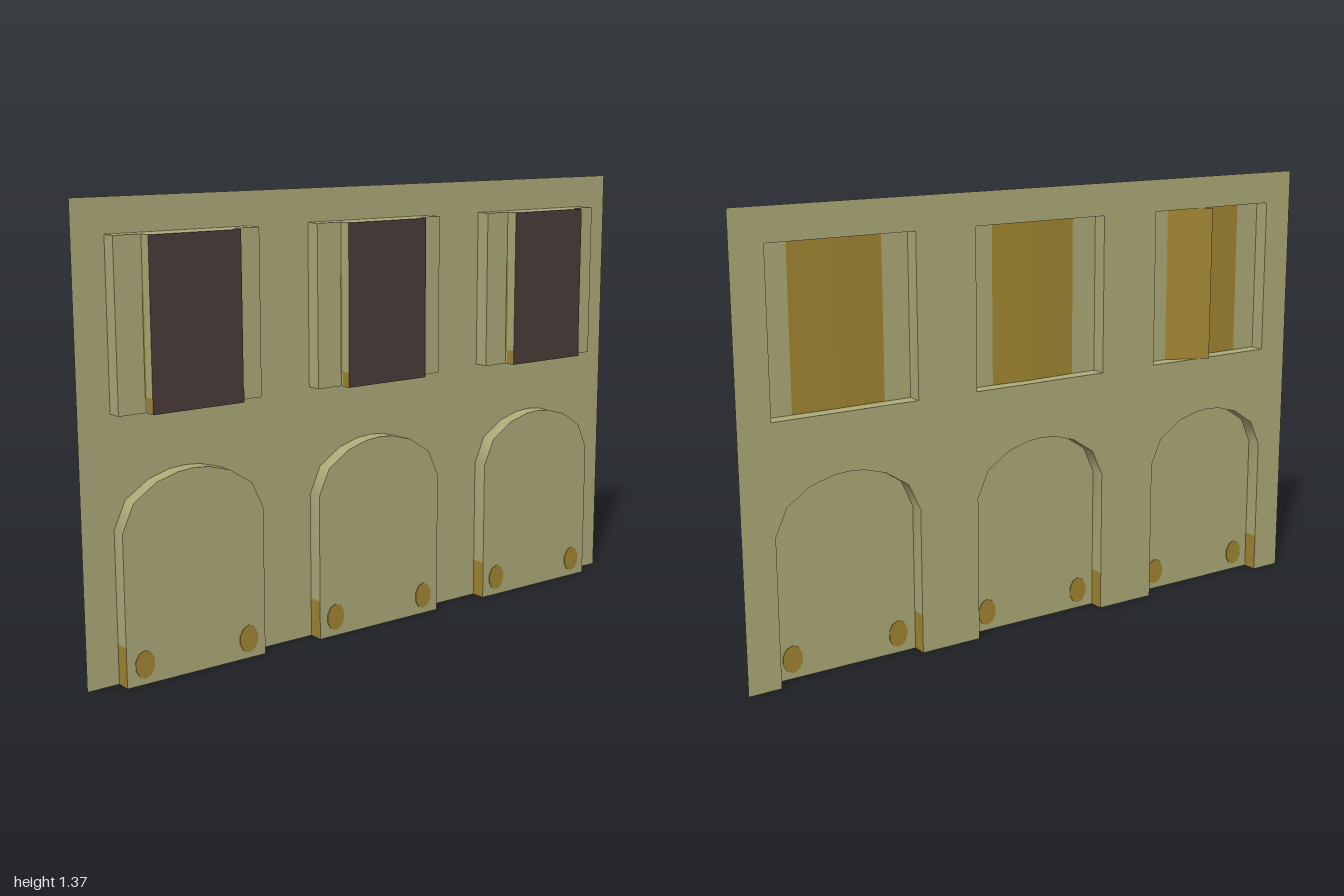
import * as THREE from 'three';

const mat = (name, color) => new THREE.MeshStandardMaterial({ name, color, side: THREE.DoubleSide });

export function createModel() {
  const group = new THREE.Group();
  const stone = mat('olive stone', 0xadaa78);
  const gold = mat('ochre', 0xa08531);
  const dark = mat('dark brown', 0x4a3c38);

  const BACK = -0.035, PANEL = 0.012, FRONT = 0.05;
  const CENTERS = [-0.667, 0, 0.665];
  const TOP = 1.37, WIN_Y0 = 0.78, WIN_Y1 = 1.27, WIN_HALF = 0.2325, PANE_HALF = 0.147;
  const BAND = 0.12;

  const add = (name, geometry, material, z = 0, parent = group) => {
    const mesh = new THREE.Mesh(geometry, material);
    mesh.name = name;
    mesh.position.z = z;
    parent.add(mesh);
    return mesh;
  };
  const shapeOf = pts => new THREE.Shape(pts.map(([x, y]) => new THREE.Vector2(x, y)));
  const rect = (x0, x1, y0, y1) => [[x0, y0], [x1, y0], [x1, y1], [x0, y1]];

  // Ribbon running along an outline between two depths
  const ribbon = (pts, z0, z1, smooth) => {
    const pos = [], index = [];
    pts.forEach(([x, y], i) => {
      pos.push(x, y, z0, x, y, z1);
      const a = i * 2;
      if (i) index.push(a - 2, a, a - 1, a, a + 1, a - 1);
    });
    let geo = new THREE.BufferGeometry();
    geo.setAttribute('position', new THREE.Float32BufferAttribute(pos, 3));
    geo.setIndex(index);
    if (!smooth) geo = geo.toNonIndexed();
    geo.computeVertexNormals();
    return geo;
  };
  const loop = pts => [...pts, pts[0]];

  // Arch outline from left spring over the crown to the right spring
  const half = [[0.2325, 0.45], [0.195, 0.532], [0.12, 0.581], [0.05, 0.601]];
  const arch = cx => [
    ...half.map(([x, y]) => [cx - x, y]), [cx, 0.605],
    ...[...half].reverse().map(([x, y]) => [cx + x, y]),
  ];

  // Wall sheet with arch notches and window holes
  const outline = [[-1, 0]];
  CENTERS.forEach(cx => outline.push([cx - 0.2325, 0], ...arch(cx), [cx + 0.2325, 0]));
  outline.push([1, 0], [1, TOP], [-1, TOP]);
  const wall = shapeOf(outline);
  CENTERS.forEach(cx => wall.holes.push(shapeOf(rect(cx - WIN_HALF, cx + WIN_HALF, WIN_Y0, WIN_Y1))));
  add('wall', new THREE.ShapeGeometry(wall), stone, BACK);

  // Swing of the two shutters of each window, in radians
  const swings = [[0, 0.45], [0.03, 0.05], [0.01, 0.02]];

  CENTERS.forEach((cx, i) => {
    // Arched bay: panel, reveal, ochre feet and spots
    const bay = new THREE.Group();
    bay.name = 'archedBay';
    group.add(bay);
    const top = arch(cx), x0 = cx - 0.2325, x1 = cx + 0.2325;
    add('archPanel', new THREE.ShapeGeometry(shapeOf([[x0, 0], ...top, [x1, 0]])), stone, PANEL, bay);
    add('archReveal', ribbon([[x0, BAND], ...top, [x1, BAND]], BACK, PANEL, true), stone, 0, bay);
    for (const s of [-1, 1]) {
      const x = cx + s * 0.2325;
      add('revealFoot', ribbon([[x, 0], [x, BAND]], BACK, PANEL), gold, 0, bay);
      const spot = new THREE.CylinderGeometry(1, 1, 0.005, 10).rotateX(Math.PI / 2).scale(0.032, 0.042, 1);
      add('spot', spot.translate(cx + s * 0.174, 0.06, 0), gold, PANEL, bay);
    }

    // Window: recessed surround, projecting box and dark pane
    const win = new THREE.Group();
    win.name = 'window';
    group.add(win);
    const frame = rect(cx - WIN_HALF, cx + WIN_HALF, WIN_Y0, WIN_Y1);
    const opening = rect(cx - PANE_HALF, cx + PANE_HALF, WIN_Y0, WIN_Y1);
    add('windowReveal', ribbon(loop(frame), BACK, PANEL), stone, 0, win);
    for (const s of [-1, 1]) {
      const w = WIN_HALF - PANE_HALF;
      const side = new THREE.PlaneGeometry(w, WIN_Y1 - WIN_Y0);
      side.translate(cx + s * (PANE_HALF + w / 2), (WIN_Y0 + WIN_Y1) / 2, 0);
      add('windowSurround', side, stone, PANEL, win);
    }
    add('windowBox', ribbon(loop(opening), PANEL, FRONT), stone, 0, win);
    add('pane', new THREE.ShapeGeometry(shapeOf(opening)), dark, FRONT, win);

    // Ochre trim on the cheeks of the box, and hinged shutters behind it
    for (const s of [-1, 1]) {
      const x = cx + s * (PANE_HALF + 0.0015);
      add('cheekFoot', ribbon([[x, WIN_Y0], [x, 0.825]], 0.02, FRONT), gold, 0, win);
      add('cheekStrip', ribbon([[x, 0.82], [x, 1.11]], PANEL, 0.02), gold, 0, win);
      const leaf = new THREE.PlaneGeometry(PANE_HALF, WIN_Y1 - WIN_Y0).translate(-s * PANE_HALF / 2, 0, 0);
      const shutter = add('shutter', leaf, gold, PANEL, win);
      shutter.position.set(cx + s * PANE_HALF, (WIN_Y0 + WIN_Y1) / 2, PANEL);
      shutter.rotation.y = -s * swings[i][s < 0 ? 0 : 1];
    }
  });
  return group;
}
